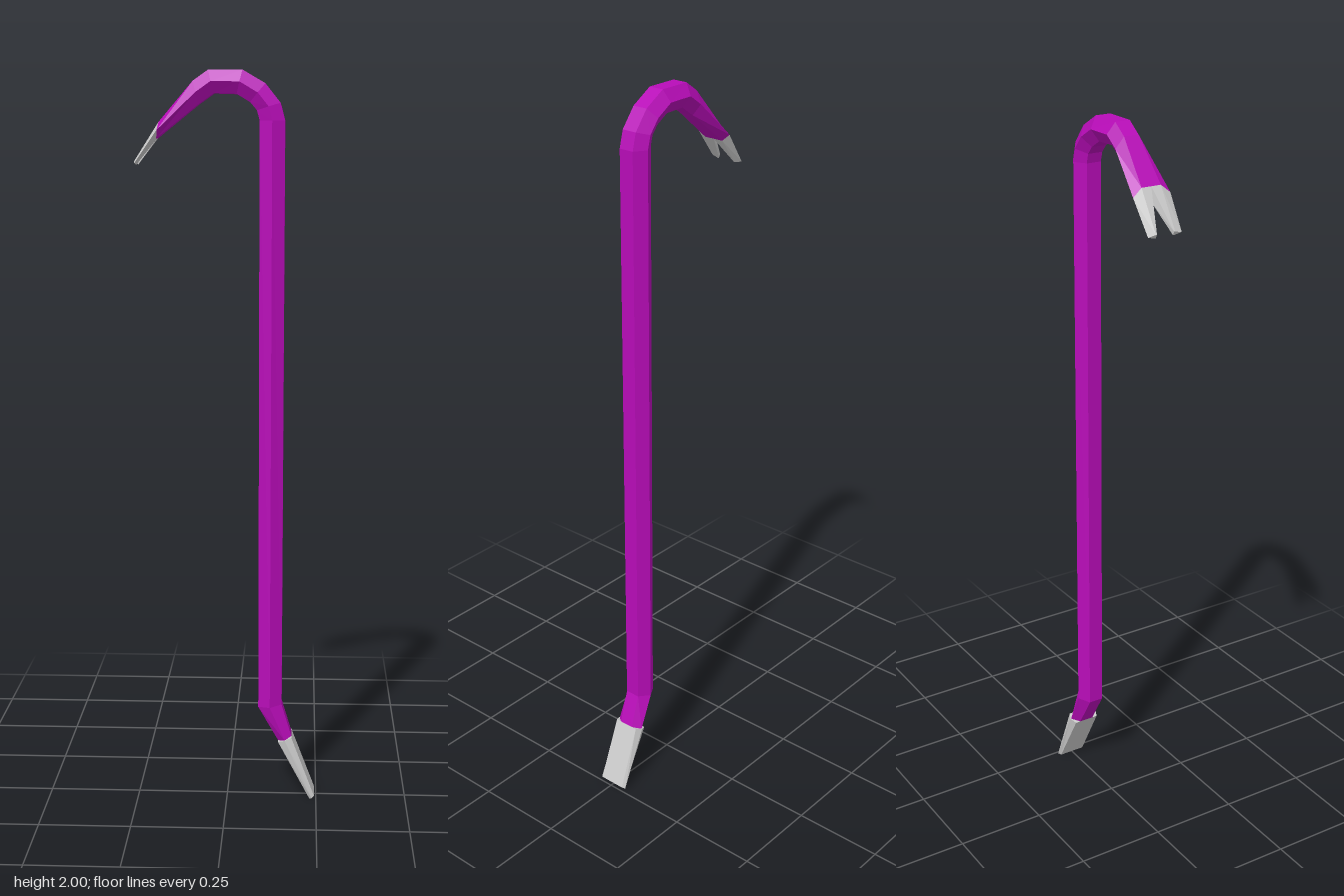
import * as THREE from 'three';

// Skins a row of equal-sized rings with flat faces and closes both ends
function loft(rings) {
  const pos = [];
  const tri = (...pts) => pts.forEach((p) => pos.push(...p));
  const n = rings[0].length;
  for (let r = 0; r + 1 < rings.length; r++) {
    const a = rings[r], b = rings[r + 1];
    for (let i = 0; i < n; i++) {
      const j = (i + 1) % n;
      tri(a[i], a[j], b[i]);
      tri(a[j], b[j], b[i]);
    }
  }
  const first = rings[0], last = rings[rings.length - 1];
  for (let i = 1; i + 1 < n; i++) {
    tri(first[0], first[i + 1], first[i]);
    tri(last[0], last[i], last[i + 1]);
  }
  const geo = new THREE.BufferGeometry();
  geo.setAttribute('position', new THREE.Float32BufferAttribute(pos, 3));
  geo.computeVertexNormals();
  return geo;
}

// Station: outer x, y, inner x, y, half width at the side ridge, half width of the flats
function hexRing([ox, oy, ix, iy, w, f]) {
  const mx = (ox + ix) / 2, my = (oy + iy) / 2;
  return [[ox, oy, f], [mx, my, w], [ix, iy, f], [ix, iy, -f], [mx, my, -w], [ox, oy, -f]];
}

// Half of a station on one side, cut off at distance c from the middle plane
function prongRing([ox, oy, ix, iy, w, f], c, side) {
  const mx = (ox + ix) / 2, my = (oy + iy) / 2;
  const ring = [[ox, oy, c], [ox, oy, f], [mx, my, w], [ix, iy, f], [ix, iy, c]]
    .map(([x, y, z]) => [x, y, z * side]);
  return side > 0 ? ring : ring.reverse();
}

export function createModel() {
  const group = new THREE.Group();
  group.name = 'pryBar';
  const paint = new THREE.MeshStandardMaterial({ color: 0xb80cb8, flatShading: true });
  const steel = new THREE.MeshStandardMaterial({ color: 0xcccccc, flatShading: true });
  const add = (name, geo, mat) => {
    const mesh = new THREE.Mesh(geo, mat);
    mesh.name = name;
    group.add(mesh);
  };

  const clawTip = [-0.245, 1.765, -0.24, 1.755, 0.049, 0.028];
  const clawCollar = [-0.18, 1.866, -0.186, 1.824, 0.054, 0.028];
  const chiselCollar = [0.18, 0.178, 0.143, 0.165, 0.042, 0.021];

  // Painted hexagonal bar: hook, straight shaft and bent foot
  add('shaft', loft([
    clawCollar,
    [-0.09, 1.972, -0.075, 1.912, 0.041, 0.021],
    [-0.05, 2.0, -0.035, 1.94, 0.041, 0.021],
    [0.04, 2.0, 0.025, 1.938, 0.041, 0.021],
    [0.10, 1.965, 0.06, 1.917, 0.041, 0.021],
    [0.14, 1.915, 0.078, 1.896, 0.041, 0.021],
    [0.152, 1.87, 0.085, 1.87, 0.041, 0.021],
    [0.152, 0.27, 0.087, 0.262, 0.041, 0.021],
    chiselCollar,
  ].map(hexRing)), paint);

  // Bare chisel end, widening to a thin edge
  const chiselStart = [...chiselCollar.slice(0, 4), 0.044, 0.036];
  add('chisel', loft([
    chiselStart,
    [0.245, 0.008, 0.232, 0, 0.045, 0.038],
  ].map(hexRing)), steel);

  // Two claw prongs with a V notch between them
  for (const side of [1, -1]) {
    add(side > 0 ? 'frontProng' : 'backProng', loft([
      prongRing(clawTip, 0.025, side),
      prongRing(clawCollar, 0, side),
    ]), steel);
  }
  return group;
}
